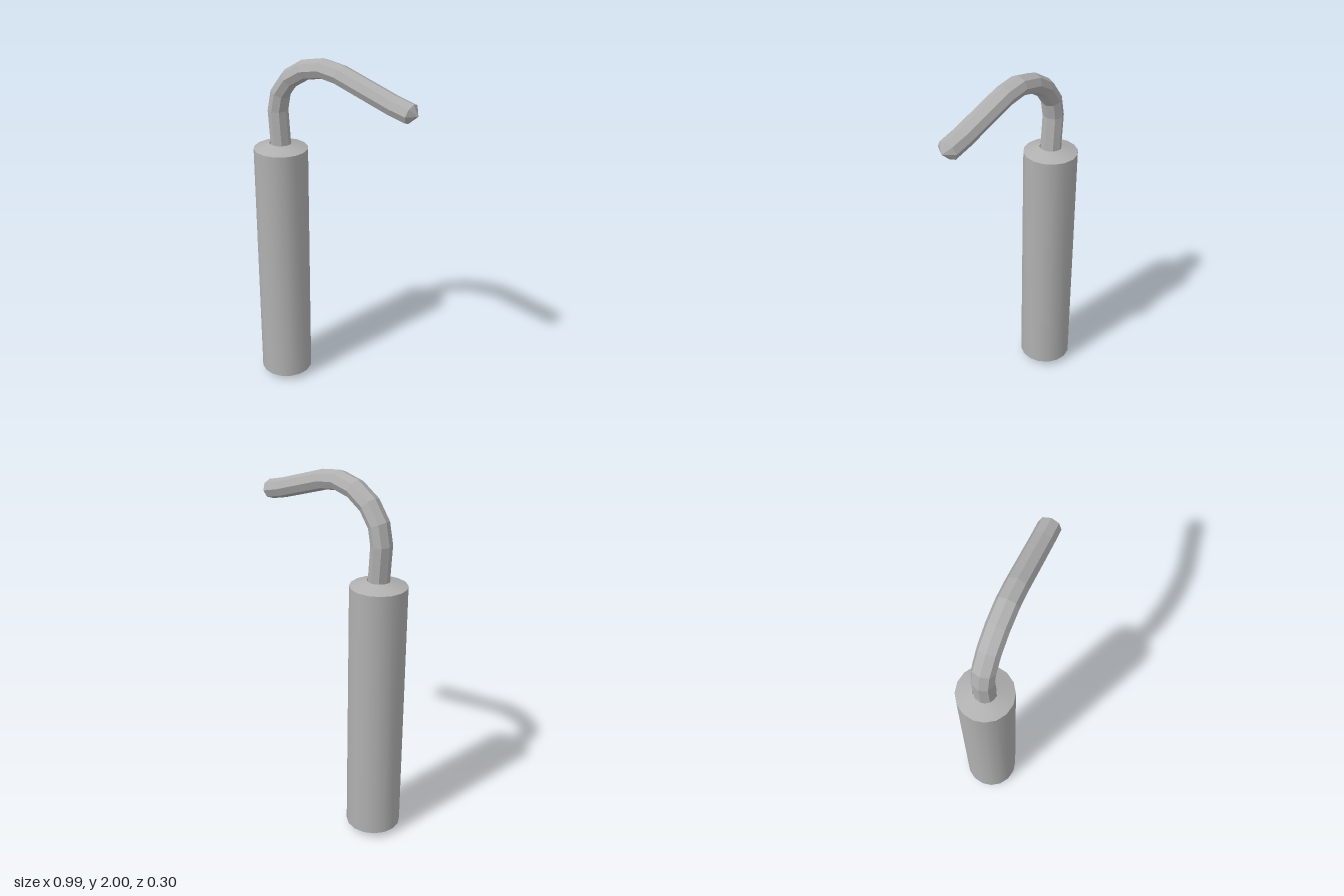
import * as THREE from 'three';
import { toCreasedNormals } from 'three/addons/utils/BufferGeometryUtils.js';

const SIDES = 8;

// Faceted rod swept along a centreline in the xy plane, with a pointed tip
function sweepRod(path, inPlane, depth, tip) {
  const pos = [], index = [];
  path.forEach(([x, y], i) => {
    const p = path[Math.max(i - 1, 0)], q = path[Math.min(i + 1, path.length - 1)];
    const t = new THREE.Vector2(q[0] - p[0], q[1] - p[1]).normalize();
    for (let j = 0; j < SIDES; j++) {
      const a = (j / SIDES) * Math.PI * 2, n = Math.cos(a) * inPlane;
      pos.push(x - t.y * n, y + t.x * n, Math.sin(a) * depth);
    }
  });
  for (let i = 0; i < path.length - 1; i++) {
    for (let j = 0; j < SIDES; j++) {
      const k = (j + 1) % SIDES;
      const a = i * SIDES + j, b = i * SIDES + k, c = a + SIDES, d = b + SIDES;
      index.push(a, b, c, b, d, c);
    }
  }
  const last = (path.length - 1) * SIDES, apex = pos.length / 3;
  pos.push(tip[0], tip[1], 0);
  for (let j = 0; j < SIDES; j++) index.push(last + j, last + ((j + 1) % SIDES), apex);

  const geometry = new THREE.BufferGeometry();
  geometry.setAttribute('position', new THREE.Float32BufferAttribute(pos, 3));
  geometry.setIndex(index);
  const flat = geometry.toNonIndexed();
  flat.computeVertexNormals();
  return flat;
}

export function createModel() {
  const group = new THREE.Group();
  const grey = new THREE.MeshStandardMaterial({ color: 0xb0b0b0 });
  grey.name = 'grey';

  // Round handle with bevelled ends and a small recess in each end
  const profile = [
    [0, 0.06], [0.057, 0.05], [0.057, 0.002], [0.15, 0.036],
    [0.15, 1.46], [0.062, 1.49], [0.062, 1.43], [0, 1.43],
  ].map(([r, y]) => new THREE.Vector2(r, y));
  const handle = new THREE.Mesh(toCreasedNormals(new THREE.LatheGeometry(profile, 16), 0.6), grey);
  handle.name = 'handle';
  handle.position.x = -0.346;
  group.add(handle);

  // Bent rod rising from the handle and hooking over to the left
  const path = [
    [-0.342, 1.43], [-0.358, 1.675], [-0.337, 1.775], [-0.272, 1.863], [-0.175, 1.923],
    [-0.062, 1.947], [0.04, 1.932], [0.352, 1.83], [0.452, 1.805],
  ];
  const rod = new THREE.Mesh(sweepRod(path, 0.053, 0.06, [0.492, 1.8]), grey);
  rod.name = 'bentRod';
  group.add(rod);

  return group;
}
